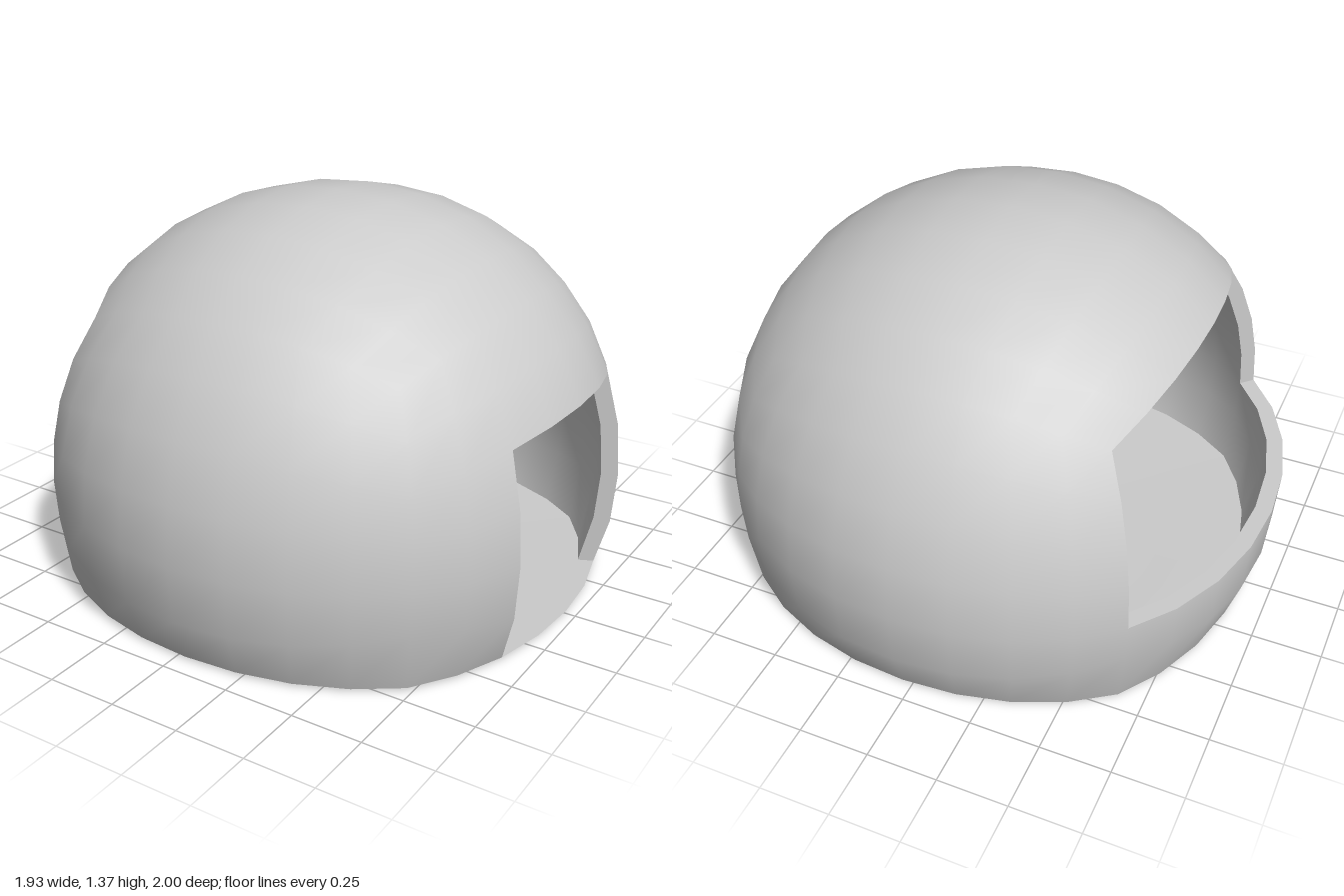
import * as THREE from 'three';

const N = 8;                 // cells along each side of a face
const THICK = 0.06;          // wall thickness
const CENTRE = new THREE.Vector3(0.035, 0.37, 0);
const BASE_Y = 0.01;
const Y_AXIS = new THREE.Vector3(0, 1, 0);
const X_AXIS = new THREE.Vector3(1, 0, 0);
const TOP = 4;               // faces 0..3 are front, left, back, right; 4 is the top

// Point on a rounded cube that is nearly a sphere; u and v run from -1 to 1 over a face
function surfacePoint(face, u, v, inset = 0) {
  const bend = t => Math.tan((Math.PI / 4) * t * (1 + 0.06 * (1 - t * t)));
  const dir = new THREE.Vector3(bend(u), bend(v), 1).normalize();
  if (face === TOP) dir.applyAxisAngle(X_AXIS, -Math.PI / 2);
  else dir.applyAxisAngle(Y_AXIS, face * Math.PI / 2);
  const s = dir.x ** 4 + dir.y ** 4 + dir.z ** 4;
  const pos = dir.clone().multiplyScalar(1 + 0.055 * (1 - s) - inset).add(CENTRE);
  const atBase = face !== TOP && v === -0.5;
  if (atBase) pos.y = BASE_Y;
  return { pos, dir, atBase };
}

// Which cells of the shell exist
function hasCell(face, i, j) {
  if (face === TOP) return true;
  if (j < 2) return false;                                              // cut flat at the base
  if (face === 1 && i >= 2 && i <= 5 && j <= 5) return false;           // doorway
  if (face === 3 && j >= 4) return false;                               // wide window
  return true;
}

function makeMesh(name, positions, normals, material) {
  const g = new THREE.BufferGeometry();
  g.setAttribute('position', new THREE.Float32BufferAttribute(positions, 3));
  if (normals) g.setAttribute('normal', new THREE.Float32BufferAttribute(normals, 3));
  else g.computeVertexNormals();
  const mesh = new THREE.Mesh(g, material);
  mesh.name = name;
  return mesh;
}

export function createModel() {
  const group = new THREE.Group();
  group.name = 'dome';
  const material = new THREE.MeshStandardMaterial({ color: 0xcccccc, side: THREE.DoubleSide });

  // Outer and inner skins, with smooth normals
  const outer = [], outerN = [], inner = [], innerN = [];
  const edges = new Map();
  const key = p => p.toArray().map(c => Math.round(c * 1e4)).join();
  for (let face = 0; face <= TOP; face++) {
    for (let i = 0; i < N; i++) for (let j = 0; j < N; j++) {
      if (!hasCell(face, i, j)) continue;
      const corners = [[i, j], [i + 1, j], [i + 1, j + 1], [i, j + 1]].map(([a, b]) => {
        const u = a / (N / 2) - 1, v = b / (N / 2) - 1;
        return { out: surfacePoint(face, u, v), inn: surfacePoint(face, u, v, THICK) };
      });
      for (const c of [0, 1, 2, 0, 2, 3]) {
        outer.push(...corners[c].out.pos.toArray());
        outerN.push(...corners[c].out.dir.toArray());
      }
      for (const c of [0, 2, 1, 0, 3, 2]) {
        inner.push(...corners[c].inn.pos.toArray());
        innerN.push(...corners[c].inn.dir.clone().negate().toArray());
      }
      corners.forEach((a, n) => {
        const b = corners[(n + 1) % 4];
        edges.set(key(a.out.pos) + '|' + key(b.out.pos), [a, b]);
      });
    }
  }
  group.add(makeMesh('outerShell', outer, outerN, material));
  group.add(makeMesh('innerShell', inner, innerN, material));

  // Flat edges joining both skins around the doorway and window
  const rim = [];
  for (const [k, [a, b]] of edges) {
    if (edges.has(k.split('|').reverse().join('|'))) continue;
    if (a.out.atBase && b.out.atBase) continue;
    for (const p of [a.out, a.inn, b.inn, a.out, b.inn, b.out]) rim.push(...p.pos.toArray());
  }
  group.add(makeMesh('openingEdges', rim, null, material));

  // Shallow dished floor made of concentric loops
  const loop = [];
  for (let face = 0; face < 4; face++)
    for (let i = 0; i < N; i++) loop.push(surfacePoint(face, i / (N / 2) - 1, -0.5).pos);
  const rings = [[1, BASE_Y], [0.73, 0.006], [0.63, 0.003], [0.4, 0], [0, 0]];
  const at = (n, [scale, y]) => {
    const p = loop[n % loop.length];
    return [CENTRE.x + (p.x - CENTRE.x) * scale, y, p.z * scale];
  };
  const floor = [];
  for (let r = 0; r < rings.length - 1; r++) {
    for (let n = 0; n < loop.length; n++) {
      const a = at(n, rings[r]), b = at(n + 1, rings[r]);
      const c = at(n + 1, rings[r + 1]), d = at(n, rings[r + 1]);
      floor.push(...a, ...b, ...c);
      if (rings[r + 1][0] > 0) floor.push(...a, ...c, ...d);
    }
  }
  group.add(makeMesh('floor', floor, null, material));

  return group;
}
